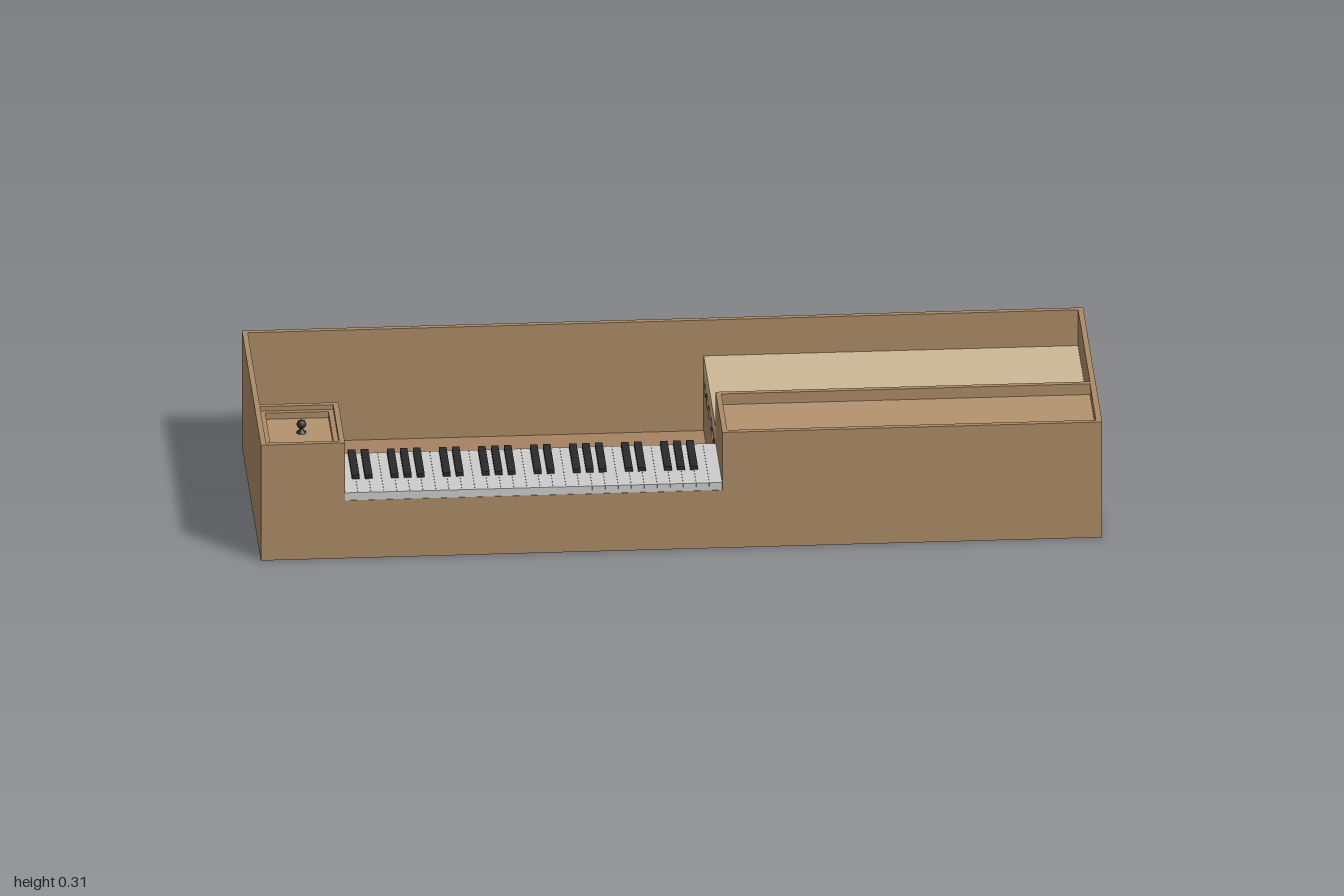
import * as THREE from 'three';

const WOOD = 0xaa8a66, INNER = 0xa58361, LID = 0xb39370, SPRUCE = 0xcbb896, DARK = 0x2a2a2a;
const T = 0.013; // board thickness
const H = 0.3, D = 0.333, MID = 0.097; // case height, half depth, line behind the keys

function mat(color) {
  return new THREE.MeshStandardMaterial({ color });
}

// Box given by its low and high corners
function board(parent, name, color, [x0, y0, z0], [x1, y1, z1]) {
  const mesh = new THREE.Mesh(new THREE.BoxGeometry(x1 - x0, y1 - y0, z1 - z0), mat(color));
  mesh.position.set((x0 + x1) / 2, (y0 + y1) / 2, (z0 + z1) / 2);
  mesh.name = name;
  parent.add(mesh);
  return mesh;
}

// Flat rectangular frame lying in the xz plane
function frame(parent, name, color, x0, x1, z0, z1, w, y0, y1) {
  const s = new THREE.Shape();
  s.moveTo(x0, -z1).lineTo(x1, -z1).lineTo(x1, -z0).lineTo(x0, -z0).closePath();
  const h = new THREE.Path();
  h.moveTo(x0 + w, -z1 + w).lineTo(x0 + w, -z0 - w).lineTo(x1 - w, -z0 - w).lineTo(x1 - w, -z1 + w).closePath();
  s.holes.push(h);
  const geo = new THREE.ExtrudeGeometry(s, { depth: y1 - y0, bevelEnabled: false });
  geo.rotateX(-Math.PI / 2).translate(0, y0, 0);
  const mesh = new THREE.Mesh(geo, mat(color));
  mesh.name = name;
  parent.add(mesh);
}

function group(parent, name) {
  const g = new THREE.Group();
  g.name = name;
  parent.add(g);
  return g;
}

export function createModel() {
  const root = new THREE.Group();
  root.name = 'keyboardInstrument';

  // Outer case: bottom, back, ends and a front wall cut down at the keys
  const box = group(root, 'case');
  board(box, 'bottom', INNER, [-1 + T, 0.001, -D + T], [1 - T, T, D - T]);
  board(box, 'underside', WOOD, [-1, 0, -D], [1, 0.002, D]);
  board(box, 'backWall', WOOD, [-1, 0, -D], [1, H, -D + T]);
  for (const s of [-1, 1]) {
    const x = s * (1 - T / 2);
    board(box, 'endWall', WOOD, [x - T / 2, 0, -D + T], [x + T / 2, H, D - T]);
  }
  const front = new THREE.Shape();
  front.moveTo(-1, 0).lineTo(1, 0).lineTo(1, H).lineTo(0.097, H).lineTo(0.097, 0.15)
    .lineTo(-0.8, 0.15).lineTo(-0.8, H).lineTo(-1, H).closePath();
  const frontWall = new THREE.Mesh(new THREE.ExtrudeGeometry(front, { depth: T, bevelEnabled: false }), mat(WOOD));
  frontWall.position.z = D - T;
  frontWall.name = 'frontWall';
  box.add(frontWall);

  // Small box left of the keys, with a recessed lid and knob
  const small = group(root, 'smallBox');
  board(small, 'smallBoxSide', WOOD, [-0.8 - T, T, MID], [-0.8, H, D - T]);
  board(small, 'smallBoxBack', WOOD, [-1 + T, T, MID], [-0.8 - T, H, MID + T]);
  frame(small, 'smallBoxLedge', WOOD, -1 + T, -0.8 - T, MID + T, D - T, 0.012, 0.25, 0.288);
  board(small, 'smallBoxLid', LID, [-0.975, 0.26, 0.12], [-0.825, 0.272, 0.31]);
  const profile = [[0, 0.27], [0.012, 0.27], [0.011, 0.275], [0.005, 0.279], [0.005, 0.284],
    [0.01, 0.289], [0.012, 0.295], [0.009, 0.302], [0, 0.305]];
  const knob = new THREE.Mesh(
    new THREE.LatheGeometry(profile.map(([r, y]) => new THREE.Vector2(r, y)), 20), mat(DARK));
  knob.position.set(-0.895, 0, 0.205);
  knob.name = 'lidKnob';
  small.add(knob);

  // Long box right of the keys, with a recessed lid
  const long = group(root, 'longBox');
  board(long, 'longBoxSide', WOOD, [0.097, T, MID], [0.097 + T, H, D - T]);
  board(long, 'longBoxBack', WOOD, [0.097 + T, T, MID], [1 - T, H, MID + T]);
  board(long, 'longBoxEnd', INNER, [1 - T - 0.001, T, MID + T], [1.0004, H - 0.0005, 0.322]);
  board(long, 'longBoxLid', LID, [0.097 + T, 0.26, MID + T], [1 - T, 0.272, D - T]);

  // Soundboard, its end let into the case
  board(root, 'soundboard', SPRUCE, [0.097, 0.17, -D + T], [1.0004, 0.207, MID]);

  // Upright rail under the soundboard, pierced by round holes
  const rail = new THREE.Shape();
  rail.moveTo(-MID, T).lineTo(D - T, T).lineTo(D - T, 0.17).lineTo(-MID, 0.17).closePath();
  for (let i = 0; i < 6; i++) {
    const hole = new THREE.Path();
    hole.absarc(-0.055 + i * 0.065, 0.14, 0.018, 0, Math.PI * 2, true);
    rail.holes.push(hole);
  }
  const railMesh = new THREE.Mesh(
    new THREE.ExtrudeGeometry(rail, { depth: T, bevelEnabled: false, curveSegments: 16 }), mat(WOOD));
  railMesh.rotation.y = Math.PI / 2;
  railMesh.position.x = 0.097;
  railMesh.name = 'piercedRail';
  root.add(railMesh);

  // Keyboard: 29 naturals on a thin bed, sharps in twos and threes
  const keys = group(root, 'keyboard');
  const x0 = -0.8, pitch = 0.897 / 29;
  board(keys, 'keyBed', 0xcccccc, [x0, 0.15, 0.105], [0.097, 0.16, D - 0.001]);
  for (let i = 0; i < 29; i++) {
    const x = x0 + i * pitch;
    board(keys, 'naturalKey', 0xcccccc, [x + 0.0002, 0.16, 0.105], [x + pitch - 0.0002, 0.17, D]);
    if (i < 28 && ![2, 6].includes(i % 7)) {
      const c = x + pitch;
      board(keys, 'sharpKey', DARK, [c - 0.009, 0.165, 0.105], [c + 0.009, 0.18, 0.255]);
    }
  }
  return root;
}
